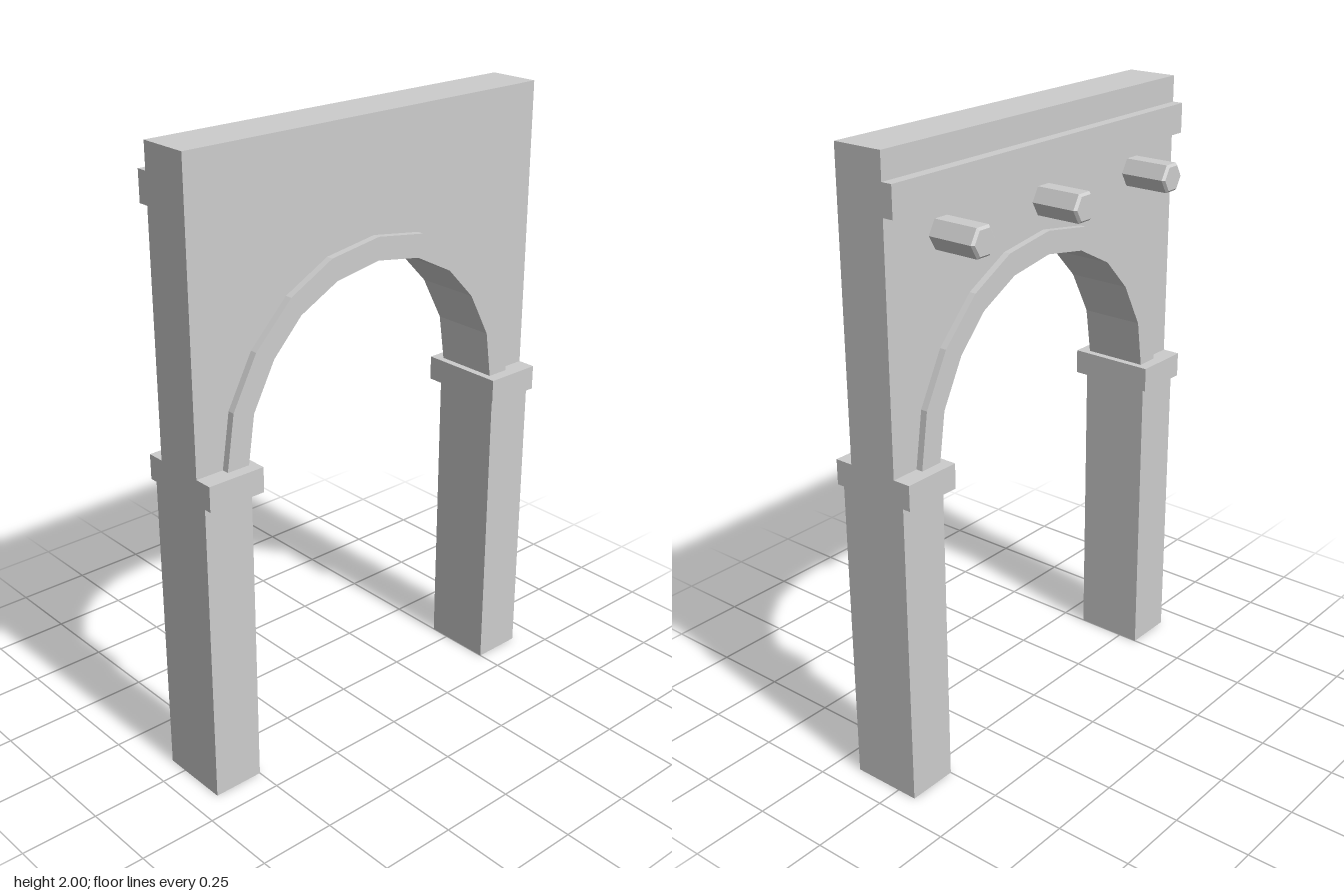
import * as THREE from 'three';

export function createModel() {
  const model = new THREE.Group();
  model.name = 'archway';
  const stone = new THREE.MeshStandardMaterial({ color: 0xcccccc, flatShading: true });
  stone.name = 'stone';

  function add(name, geometry) {
    const mesh = new THREE.Mesh(geometry, stone);
    mesh.name = name;
    model.add(mesh);
    return mesh;
  }
  // Box given by its limits on each axis
  function box(name, x0, x1, y0, y1, z0, z1) {
    add(name, new THREE.BoxGeometry(x1 - x0, y1 - y0, z1 - z0))
      .position.set((x0 + x1) / 2, (y0 + y1) / 2, (z0 + z1) / 2);
  }
  function slab(name, points, z0, z1) {
    const shape = new THREE.Shape(points.map(([x, y]) => new THREE.Vector2(x, y)));
    const g = new THREE.ExtrudeGeometry(shape, { depth: z1 - z0, bevelEnabled: false });
    add(name, g.translate(0, 0, z0));
  }
  // Half curve from springing to crown, mirrored to a full arch (right to left)
  const mirror = half => [...half, ...half.slice(0, -1).reverse().map(([x, y]) => [-x, y])];

  const W = 0.667, spring = 1.07;
  const inner = mirror([[0.498, spring], [0.475, 1.223], [0.398, 1.368], [0.297, 1.474], [0.16, 1.545], [0, 1.571]]);
  const outer = mirror([[0.574, spring], [0.547, 1.245], [0.462, 1.404], [0.333, 1.535], [0.18, 1.616], [0, 1.643]]);

  // Wall above the springing line, and the raised arch band
  slab('wall', [[W, spring], [W, 2], [-W, 2], [-W, spring], ...outer.slice().reverse()], -0.035, 0.132);
  slab('archBand', [...outer, ...inner.slice().reverse()], -0.057, 0.155);

  // Pillars and capitals
  for (const [side, s] of [['left', 1], ['right', -1]]) {
    const span = (a, b) => (s > 0 ? [a, b] : [-b, -a]);
    box(side + 'Pillar', ...span(0.5, W), 0, 0.99, -0.067, 0.167);
    box(side + 'Capital', ...span(0.475, W), 0.99, spring, -0.093, 0.192);
  }

  // Ledge across the back
  box('backLedge', -W, W, 1.822, 1.917, -0.07, -0.035);

  // Hexagonal pegs with chamfered tips
  const profile = [[0, 0], [0.05, 0], [0.05, 0.149], [0.042, 0.157], [0, 0.157]]
    .map(([x, y]) => new THREE.Vector2(x, y));
  const peg = new THREE.LatheGeometry(profile, 6, Math.PI / 2).rotateX(-Math.PI / 2);
  ['rightPeg', 'middlePeg', 'leftPeg'].forEach((name, i) =>
    add(name, peg).position.set((i - 1) * 0.445, 1.735, -0.035));

  return model;
}
